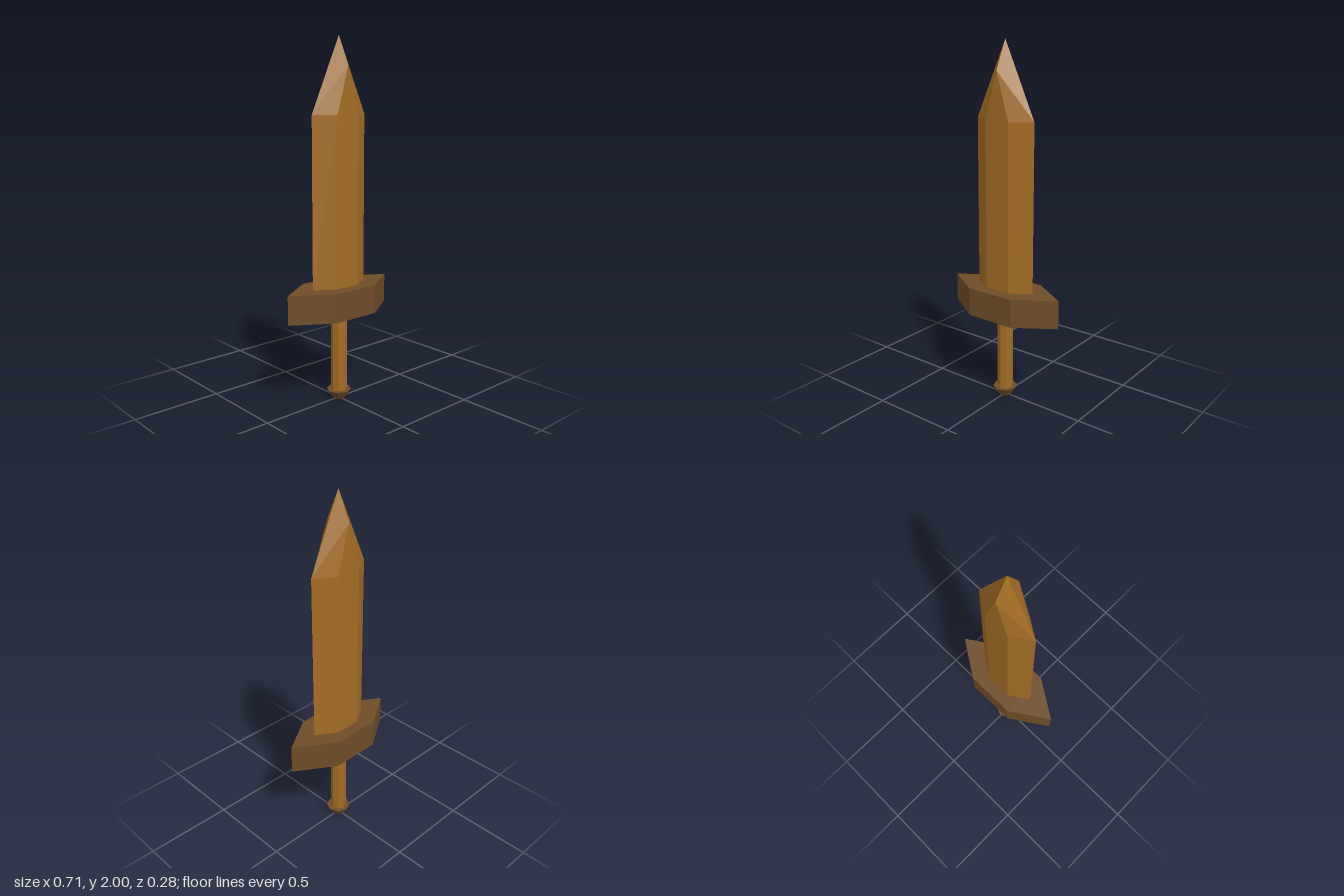
import * as THREE from 'three';
import { ConvexGeometry } from 'three/addons/geometries/ConvexGeometry.js';

// Six corners of a stretched hexagon at height y
function hexRing(halfWidth, flatHalf, halfDepth, y) {
  const points = [];
  for (const s of [-1, 1]) {
    points.push(new THREE.Vector3(s * halfWidth, y, 0));
    for (const t of [-1, 1]) points.push(new THREE.Vector3(s * flatHalf, y, t * halfDepth));
  }
  return points;
}

export function createModel() {
  const lightWood = new THREE.MeshStandardMaterial({ color: 0xa36c25, flatShading: true });
  lightWood.name = 'light wood';
  const darkWood = new THREE.MeshStandardMaterial({ color: 0x6e4c27, flatShading: true });
  darkWood.name = 'dark wood';

  const model = new THREE.Group();
  model.name = 'sword';
  const add = (name, geometry, material, y = 0) => {
    const mesh = new THREE.Mesh(geometry, material);
    mesh.name = name;
    mesh.position.y = y;
    model.add(mesh);
  };

  // Blade: hexagonal section, flat faces running up to a ridge, then the point
  add('blade', new ConvexGeometry([
    ...hexRing(0.187, 0.074, 0.073, 0.65),
    ...hexRing(0.187, 0.074, 0.073, 1.59),
    new THREE.Vector3(0, 1.845, 0.073),
    new THREE.Vector3(0, 1.845, -0.073),
    new THREE.Vector3(0, 2, 0),
  ]), lightWood);

  // Crossguard
  add('guard', new ConvexGeometry([
    ...hexRing(0.357, 0.142, 0.141, 0.5),
    ...hexRing(0.357, 0.142, 0.141, 0.66),
  ]), darkWood);

  // Grip and tapered pommel
  add('grip', new THREE.CylinderGeometry(0.045, 0.045, 0.46, 8), lightWood, 0.28);
  add('pommel', new THREE.CylinderGeometry(0.07, 0.035, 0.052, 8), darkWood, 0.026);

  return model;
}
